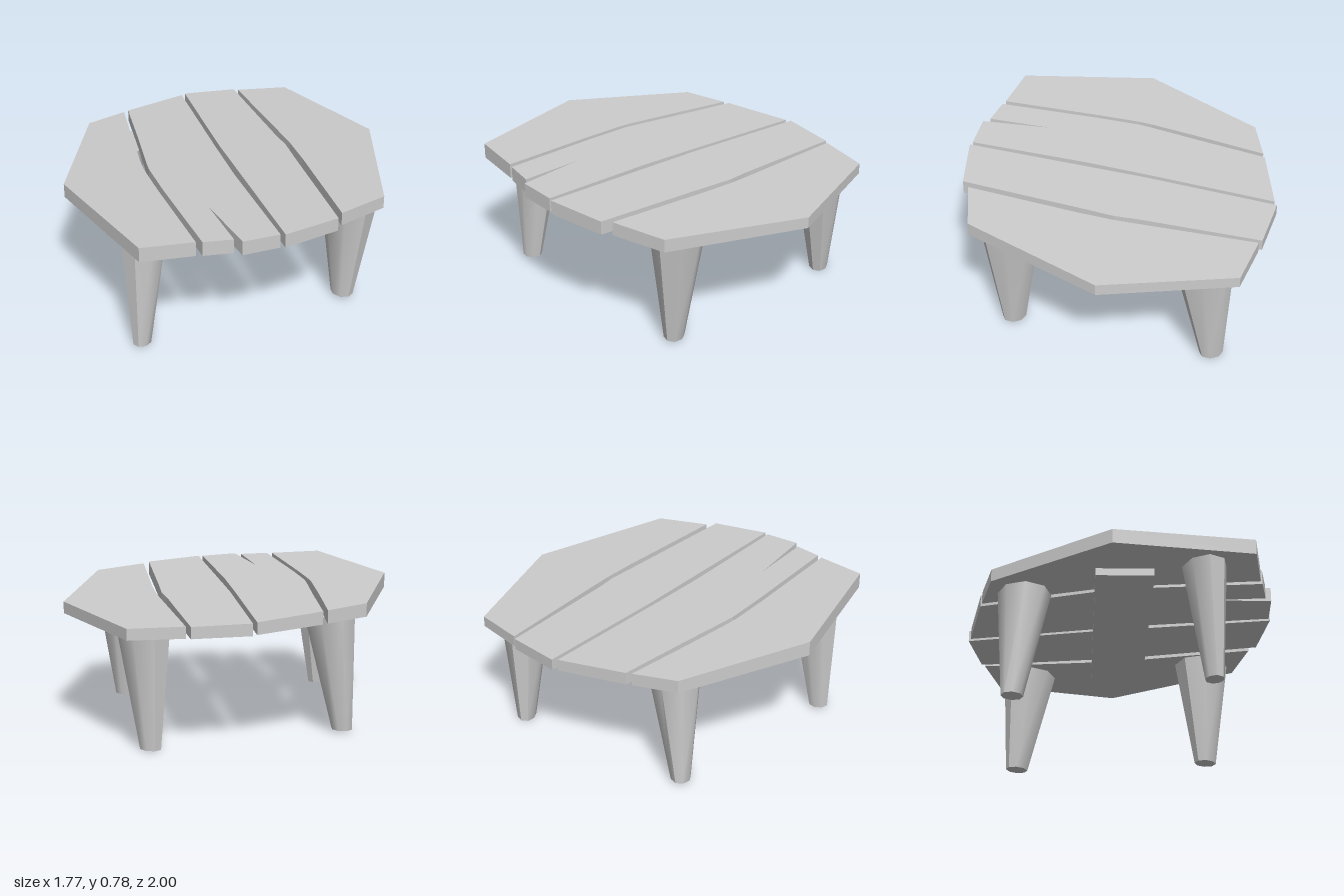
import * as THREE from 'three';
import { toCreasedNormals } from 'three/addons/utils/BufferGeometryUtils.js';

const material = new THREE.MeshStandardMaterial({ color: 0xcccccc });

// The slightly crooked planes that bound the table top and the brace
const topPlane = (x, z) => 0.722 + 0.0146 * x + 0.056 * z;
const underPlane = (x, z) => 0.65 + 0.012 * x + 0.044 * z;
const braceTop = (x, z) => 0.641 + 0.03 * z;
const braceUnder = (x, z) => 0.601 + 0.027 * z;

// Upright slab with an [x, z] outline, fitted between two sloping planes
function slab(name, outline, lower, upper) {
  const shape = new THREE.Shape(outline.map(([x, z]) => new THREE.Vector2(x, -z)));
  const geo = new THREE.ExtrudeGeometry(shape, { depth: 1, bevelEnabled: false });
  geo.rotateX(-Math.PI / 2);
  const p = geo.attributes.position;
  for (let i = 0; i < p.count; i++) {
    const x = p.getX(i), z = p.getZ(i);
    p.setY(i, THREE.MathUtils.lerp(lower(x, z), upper(x, z), p.getY(i)));
  }
  geo.computeVertexNormals();
  const mesh = new THREE.Mesh(geo, material);
  mesh.name = name;
  return mesh;
}

// Faceted leg; foot and head are [xMin, xMax, zMin, zMax]
function leg(name, footY, foot, head) {
  const geo = new THREE.CylinderGeometry(1, 1, 1, 8, 1);
  geo.rotateY(Math.PI / 8);
  geo.scale(1 / Math.cos(Math.PI / 8), 1, 1 / Math.cos(Math.PI / 8));
  const p = geo.attributes.position;
  for (let i = 0; i < p.count; i++) {
    const isHead = p.getY(i) > 0;
    const [x0, x1, z0, z1] = isHead ? head : foot;
    const x = (x0 + x1) / 2 + p.getX(i) * (x1 - x0) / 2;
    const z = (z0 + z1) / 2 + p.getZ(i) * (z1 - z0) / 2;
    p.setXYZ(i, x, isHead ? underPlane(x, z) + 0.003 : footY, z);
  }
  const mesh = new THREE.Mesh(toCreasedNormals(geo, 0.82), material);
  mesh.name = name;
  return mesh;
}

export function createModel() {
  const table = new THREE.Group();
  table.name = 'table';

  // Four planks with crooked gaps; the third has a split in its end
  const planks = {
    backPlank: [[-0.31, -1], [0.4, -0.84], [0.885, -0.21], [0.81, 0.08], [0.31, -0.29],
      [0.15, -0.4], [0.05, -0.46], [-0.505, -0.785]],
    innerBackPlank: [[-0.53, -0.775], [0.03, -0.43], [0.14, -0.37], [0.3, -0.25],
      [0.825, 0.135], [0.71, 0.44], [0.15, 0.07], [-0.13, -0.115], [-0.72, -0.535]],
    innerFrontPlank: [[-0.72, -0.505], [-0.145, -0.095], [0.135, 0.1], [0.69, 0.455],
      [0.585, 0.63], [0.235, 0.46], [0.54, 0.64], [0.435, 0.76], [-0.06, 0.47],
      [-0.26, 0.345], [-0.315, 0.3], [-0.54, 0.105], [-0.825, -0.135]],
    frontPlank: [[-0.83, -0.105], [-0.555, 0.135], [-0.33, 0.325], [-0.27, 0.37],
      [-0.07, 0.495], [0.41, 0.78], [0.23, 1], [-0.495, 0.76], [-0.885, 0.135]],
  };
  for (const [name, outline] of Object.entries(planks)) {
    table.add(slab(name, outline, underPlane, topPlane));
  }

  // Brace running across the planks underneath
  const along = [-0.46, 0.89], length = 0.7, halfWidth = 0.155;
  const corners = [[-1, -1], [1, -1], [1, 1], [-1, 1]].map(([l, w]) => [
    along[0] * l * length + along[1] * w * halfWidth,
    along[1] * l * length - along[0] * w * halfWidth - 0.035,
  ]);
  table.add(slab('brace', corners, braceUnder, braceTop));

  // Tapered legs
  table.add(
    leg('frontLeg', 0.015, [0.02, 0.11, 0.77, 0.87], [-0.05, 0.165, 0.64, 0.89]),
    leg('rightLeg', 0.015, [-0.79, -0.68, 0.08, 0.18], [-0.8, -0.53, -0.04, 0.22]),
    leg('leftLeg', 0.015, [0.605, 0.725, -0.25, -0.15], [0.515, 0.815, -0.35, -0.085]),
    leg('backLeg', 0.003, [-0.32, -0.2, -0.86, -0.765], [-0.345, -0.055, -0.92, -0.675]),
  );
  return table;
}
